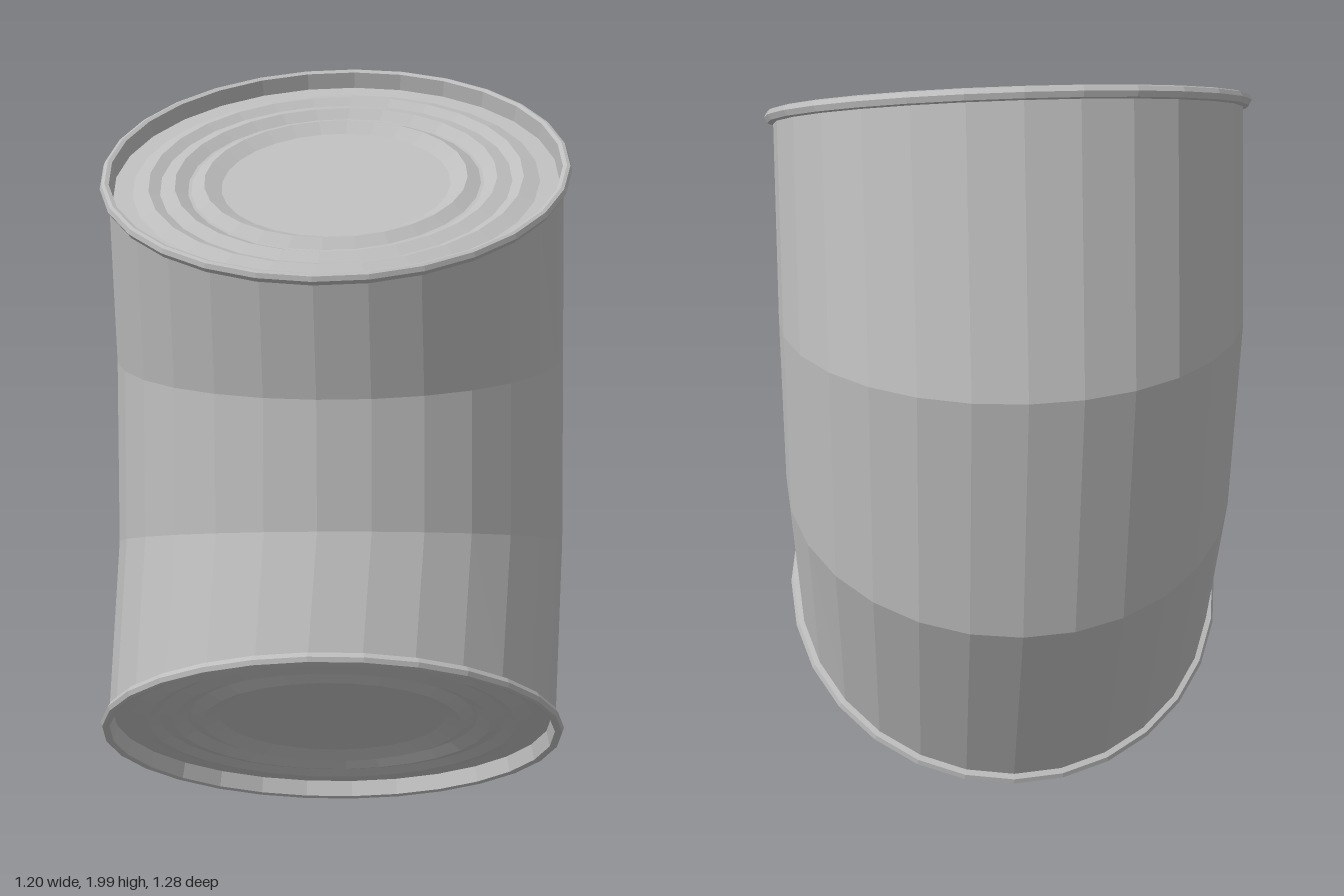
import * as THREE from 'three';

const SIDES = 28;
const UP = new THREE.Vector3(0, 1, 0);

// A tilted plane y = sx * x + sz * z through a centre point
function station(x, y, z, sx, sz, r) {
  const normal = new THREE.Vector3(-sx, 1, -sz).normalize();
  const q = new THREE.Quaternion().setFromUnitVectors(UP, normal);
  return { centre: new THREE.Vector3(x, y, z), normal, q, r };
}

export function createModel() {
  const model = new THREE.Group();
  model.name = 'bentCan';
  const tin = new THREE.MeshStandardMaterial({ color: 0xbcbcbc, flatShading: true });
  tin.name = 'tin grey';

  // End planes and the two creases of the bent wall
  const bottom = station(-0.022, 0.322, 0.161, -0.092, 0.655, 0.562);
  const lowerCrease = station(0.025, 0.785, -0.035, -0.03, 0.244, 0.568);
  const upperCrease = station(0.028, 1.267, -0.074, 0.02, -0.071, 0.568);
  const top = station(0, 1.757, 0.045, 0.095, -0.443, 0.562);

  // Wall: a lathe whose rows are moved onto the tilted planes
  const inset = 0.028;
  const rows = [bottom, lowerCrease, upperCrease, top];
  const offsets = [inset, 0, 0, -inset];
  const wall = new THREE.LatheGeometry(rows.map((s, j) => new THREE.Vector2(s.r, offsets[j])), SIDES);
  const pos = wall.attributes.position;
  const v = new THREE.Vector3();
  for (let i = 0; i < pos.count; i++) {
    const s = rows[i % rows.length];
    v.fromBufferAttribute(pos, i).applyQuaternion(s.q).add(s.centre);
    pos.setXYZ(i, v.x, v.y, v.z);
  }
  wall.computeVertexNormals();
  const wallMesh = new THREE.Mesh(wall, tin);
  wallMesh.name = 'bentWall';
  model.add(wallMesh);

  // Ends: rolled rim, recessed lid and pressed concentric beads
  const profile = [
    [0.56, -0.03], [0.576, -0.027], [0.583, -0.014], [0.578, -0.003], [0.57, 0],
    [0.56, -0.004], [0.553, -0.045], [0.505, -0.045], [0.465, -0.032], [0.437, -0.045],
    [0.4, -0.035], [0.368, -0.052], [0.36, -0.052], [0.327, -0.036], [0.285, -0.055], [0, -0.055],
  ].map(([r, y]) => new THREE.Vector2(r, y));
  const endGeometry = new THREE.LatheGeometry(profile, SIDES);
  const flip = new THREE.Quaternion().setFromAxisAngle(new THREE.Vector3(1, 0, 0), Math.PI);

  for (const [name, s, turned] of [['topLid', top, false], ['bottomLid', bottom, true]]) {
    const lid = new THREE.Mesh(endGeometry, tin);
    lid.name = name;
    lid.position.copy(s.centre);
    lid.quaternion.copy(s.q);
    if (turned) lid.quaternion.multiply(flip);
    model.add(lid);
  }
  return model;
}
